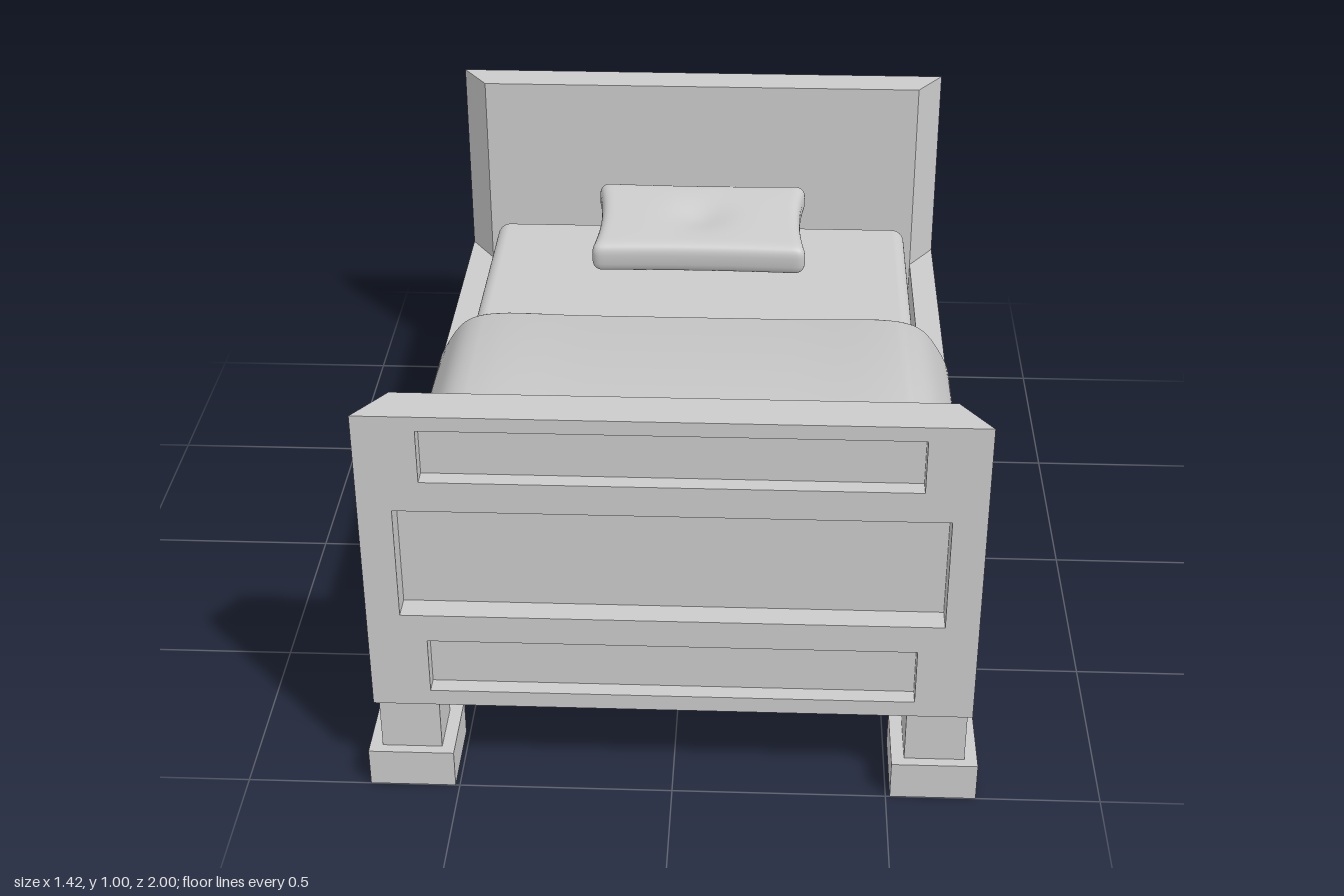
import * as THREE from 'three';
import { mergeVertices, toCreasedNormals } from 'three/addons/utils/BufferGeometryUtils.js';
import { RoundedBoxGeometry } from 'three/addons/geometries/RoundedBoxGeometry.js';

const material = new THREE.MeshStandardMaterial({ color: 0xcccccc });

function add(parent, name, geometry, x = 0, y = 0, z = 0) {
  const mesh = new THREE.Mesh(geometry, material);
  mesh.name = name;
  mesh.position.set(x, y, z);
  parent.add(mesh);
  return mesh;
}

function polygon(points) {
  return new THREE.Shape(points.map(([x, y]) => new THREE.Vector2(x, y)));
}

const rect = (w, y0, y1) => [[-w, y0], [w, y0], [w, y1], [-w, y1]];

// End board: mitred ends, three recessed panels on the outer (+z) face
function createBoard(name) {
  const board = new THREE.Group();
  board.name = name;
  const thickness = 0.105;
  const panels = [
    { w: 0.55, y0: 0.835, y1: 0.965, recess: 0.04 },
    { w: 0.613, y0: 0.48, y1: 0.76, recess: 0.06 },
    { w: 0.555, y0: 0.27, y1: 0.41, recess: 0.04 },
  ];
  const shape = polygon(rect(0.69, 0.23, 1));
  panels.forEach(p => shape.holes.push(polygon(rect(p.w, p.y0, p.y1))));
  const frame = new THREE.ExtrudeGeometry(shape, { depth: thickness, bevelEnabled: false });
  const pos = frame.attributes.position;
  for (let i = 0; i < pos.count; i++) {
    const x = pos.getX(i);
    if (Math.abs(x) > 0.68 && pos.getZ(i) < 0.01) pos.setX(i, Math.sign(x) * 0.62);
  }
  frame.computeVertexNormals();
  add(board, 'boardFrame', frame);
  for (const p of panels) {
    const depth = thickness - p.recess;
    add(board, 'recessedPanel', new THREE.BoxGeometry(p.w * 2, p.y1 - p.y0, depth),
      0, (p.y0 + p.y1) / 2, depth / 2);
  }
  return board;
}

// Blanket: draped cross-section with a little thickness, extruded along the bed
function createBlanketGeometry() {
  const half = [[0.3, 0.578], [0.55, 0.578], [0.615, 0.555], [0.665, 0.49],
    [0.692, 0.43], [0.696, 0.35], [0.69, 0.265]];
  const points = [...half.map(([x, y]) => [-x, y]).reverse(), [0, 0.578], ...half];
  const curve = new THREE.CatmullRomCurve3(points.map(([x, y]) => new THREE.Vector3(x, y, 0)));
  const outer = [], inner = [];
  const steps = 64;
  for (let i = 0; i <= steps; i++) {
    const p = curve.getPoint(i / steps), t = curve.getTangent(i / steps);
    outer.push([p.x, p.y]);
    inner.push([p.x + t.y * 0.012, p.y - t.x * 0.012]);
  }
  const geometry = new THREE.ExtrudeGeometry(polygon([...outer, ...inner.reverse()]), {
    depth: 1.1, bevelThickness: 0.006, bevelSize: 0.006, bevelSegments: 2,
  });
  return toCreasedNormals(geometry, 0.9);
}

// Pillow: rounded block with pinched sides and a dimple in the middle
function createPillowGeometry() {
  let geometry = new THREE.BoxGeometry(2, 2, 2, 36, 10, 26);
  geometry.deleteAttribute('normal');
  geometry.deleteAttribute('uv');
  geometry = mergeVertices(geometry);
  const size = new THREE.Vector3(0.305, 0.046, 0.182);
  const r = 0.032;
  const core = size.clone().subScalar(r);
  const pos = geometry.attributes.position;
  const v = new THREE.Vector3(), c = new THREE.Vector3();
  const ease = t => Math.sin(t * Math.PI / 2);
  for (let i = 0; i < pos.count; i++) {
    v.fromBufferAttribute(pos, i);
    v.set(ease(v.x), ease(v.y), ease(v.z)).multiply(size);
    c.copy(v).clamp(core.clone().negate(), core);
    v.sub(c).setLength(v.lengthSq() > 0 ? r : 0).add(c);
    const u = v.x / size.x, w = v.z / size.z;
    if (v.y > 0) v.y -= 0.018 * Math.exp(-(v.x * v.x + v.z * v.z) / 0.006);
    v.y *= 1 + 0.06 * (1 - u * u) * (1 - w * w);
    v.x *= 1 - 0.07 * (1 - w * w);
    v.z *= 1 - 0.04 * (1 - u * u);
    pos.setXYZ(i, v.x, v.y, v.z);
  }
  geometry.computeVertexNormals();
  return geometry;
}

export function createModel() {
  const bed = new THREE.Group();
  bed.name = 'bed';

  // Footboard and headboard
  const footboard = createBoard('footboard');
  footboard.position.z = 0.885;
  const headboard = createBoard('headboard');
  headboard.position.z = -0.885;
  headboard.rotation.y = Math.PI;
  bed.add(footboard, headboard);

  // Side rails, mitred into the boards
  for (const side of [1, -1]) {
    const plan = polygon([[0.69 * side, -0.99], [0.69 * side, 0.99],
      [0.62 * side, 0.885], [0.62 * side, -0.885]]);
    const geometry = new THREE.ExtrudeGeometry(plan, { depth: 0.215, bevelEnabled: false });
    geometry.rotateX(-Math.PI / 2);
    add(bed, side > 0 ? 'leftRail' : 'rightRail', geometry, 0, 0.23, 0);
  }
  add(bed, 'basePanel', new THREE.BoxGeometry(1.24, 0.03, 1.77), 0, 0.245, 0);

  // Legs on square feet
  for (const x of [-0.61, 0.61]) {
    for (const z of [-0.9, 0.9]) {
      const leg = new THREE.Group();
      leg.name = 'leg';
      leg.position.set(x, 0, z);
      add(leg, 'foot', new THREE.BoxGeometry(0.2, 0.095, 0.2), 0, 0.0475, 0);
      add(leg, 'legPost', new THREE.BoxGeometry(0.14, 0.135, 0.14), 0, 0.1625, Math.sign(z) * 0.005);
      bed.add(leg);
    }
  }

  // Bedding
  add(bed, 'mattress', new RoundedBoxGeometry(1.19, 0.315, 1.74, 5, 0.035), 0, 0.4175, -0.005);
  add(bed, 'blanket', createBlanketGeometry(), 0, 0, -0.265);
  const pillow = add(bed, 'pillow', createPillowGeometry(), 0.005, 0.642, -0.704);
  pillow.rotation.x = 0.11;

  return bed;
}
